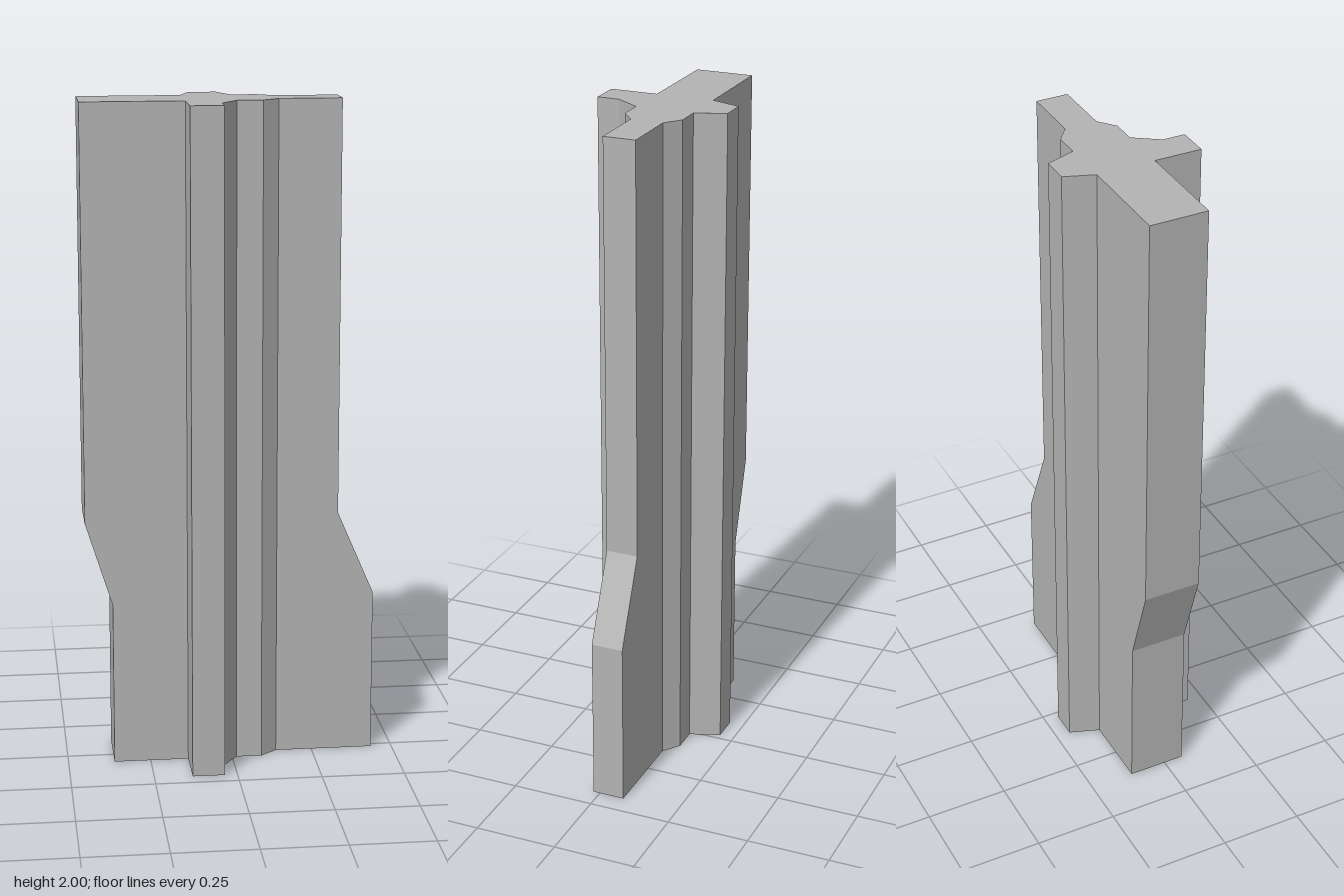
import * as THREE from 'three';

// Heights with the outer edge of the left-hand (-x) and right-hand (+x) webs
const LEVELS = [
  { y: 0, minX: -0.36, maxX: 0.436 },
  { y: 0.5, minX: -0.36, maxX: 0.436 },
  { y: 0.755, minX: -0.44, maxX: 0.326 },
  { y: 2, minX: -0.44, maxX: 0.326 },
];

// Plan outline as (x, z): thick web, ribs front and back, chamfer to thin web
function section({ minX, maxX }) {
  return [
    [minX, -0.115], [-0.135, -0.115], [-0.103, -0.205], [-0.02, -0.205],
    [0.013, -0.115], [0.09, -0.115], [0.14, -0.077], [maxX, -0.077],
    [maxX, 0.02], [0.14, 0.02], [0.09, 0.06], [0.013, 0.06],
    [-0.038, 0.135], [-0.038, 0.203], [-0.135, 0.203], [-0.135, 0.06],
    [minX, 0.06],
  ];
}

// Side walls joining the sections level by level
function wallGeometry() {
  const pos = [];
  for (let k = 0; k < LEVELS.length - 1; k++) {
    const low = section(LEVELS[k]);
    const high = section(LEVELS[k + 1]);
    const at = (s, i, y) => [s[i][0], y, s[i][1]];
    for (let i = 0; i < low.length; i++) {
      const j = (i + 1) % low.length;
      const a = at(low, i, LEVELS[k].y);
      const b = at(low, j, LEVELS[k].y);
      const c = at(high, j, LEVELS[k + 1].y);
      const d = at(high, i, LEVELS[k + 1].y);
      pos.push(...a, ...c, ...b, ...a, ...d, ...c);
    }
  }
  const geo = new THREE.BufferGeometry();
  geo.setAttribute('position', new THREE.Float32BufferAttribute(pos, 3));
  geo.computeVertexNormals();
  return geo;
}

// Flat end face, turned up (dir = 1) or down (dir = -1)
function capGeometry(level, dir) {
  const pts = section(level).map(([x, z]) => new THREE.Vector2(x, -dir * z));
  return new THREE.ShapeGeometry(new THREE.Shape(pts))
    .rotateX(-dir * Math.PI / 2)
    .translate(0, level.y, 0);
}

export function createModel() {
  const group = new THREE.Group();
  group.name = 'ribbedPost';
  const grey = new THREE.MeshStandardMaterial({ color: 0xb3b3b3 });
  grey.name = 'plain grey';

  const add = (name, geometry) => {
    const mesh = new THREE.Mesh(geometry, grey);
    mesh.name = name;
    group.add(mesh);
  };
  add('ribbedWalls', wallGeometry());
  add('topFace', capGeometry(LEVELS[LEVELS.length - 1], 1));
  add('bottomFace', capGeometry(LEVELS[0], -1));
  return group;
}
